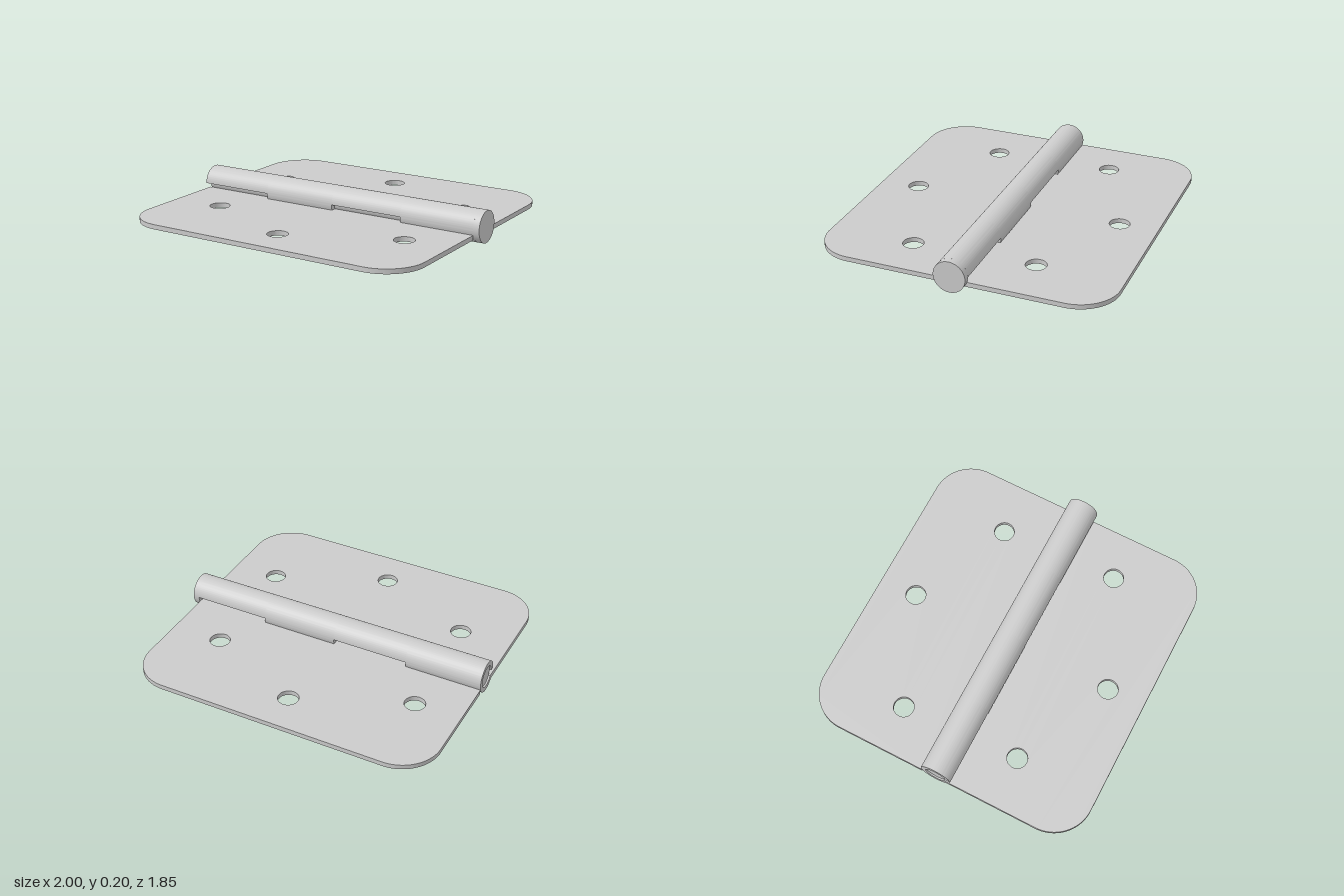
import * as THREE from 'three';
import { toCreasedNormals } from 'three/addons/utils/BufferGeometryUtils.js';

const CENTRE_X = -0.02;   // middle of the leaves; the pin head sticks out past +x
const HALF = 0.98;        // half the leaf length
const AXIS_Y = 0.1;       // height of the pin axis
const R_OUT = 0.1, R_IN = 0.068;
const PLATE_LOW = 0.035, PLATE_TOP = 0.065;
const INNER_Z = 0.095, OUTER_Z = 0.925;
const SEGMENT = HALF / 2; // length of one knuckle

const material = new THREE.MeshStandardMaterial({ color: 0xcccccc });

function addMesh(parent, name, geometry) {
  const mesh = new THREE.Mesh(geometry, material);
  mesh.name = name;
  parent.add(mesh);
  return mesh;
}

function extrude(shape, depth, curveSegments) {
  const geometry = new THREE.ExtrudeGeometry(shape, { depth, bevelEnabled: false, curveSegments });
  return toCreasedNormals(geometry, 0.6);
}

// Flat plate with two rounded outer corners and three screw holes
function plateGeometry() {
  const r = 0.25;
  const s = new THREE.Shape();
  s.moveTo(-HALF, INNER_Z);
  s.lineTo(HALF, INNER_Z);
  s.lineTo(HALF, OUTER_Z - r);
  s.absarc(HALF - r, OUTER_Z - r, r, 0, Math.PI / 2, false);
  s.lineTo(-HALF + r, OUTER_Z);
  s.absarc(-HALF + r, OUTER_Z - r, r, Math.PI / 2, Math.PI, false);
  s.closePath();
  for (const [x, z] of [[-0.65, 0.385], [0.685, 0.385], [0, 0.68]]) {
    s.holes.push(new THREE.Path().absarc(x, z, 0.064, 0, Math.PI * 2, true));
  }
  return extrude(s, PLATE_TOP - PLATE_LOW, 24).rotateX(Math.PI / 2).translate(0, PLATE_TOP, 0);
}

// Curl that runs from the plate under the pin, round it and back, leaving a slot above the plate
function knuckleGeometry() {
  const low = PLATE_LOW - AXIS_Y, top = PLATE_TOP - AXIS_Y;
  const s = new THREE.Shape();
  s.moveTo(R_OUT, 0);
  s.absarc(0, 0, R_OUT, 0, Math.PI * 2 + Math.asin(low / R_OUT), false);
  s.lineTo(INNER_Z, low);
  s.lineTo(INNER_Z, top);
  s.absarc(0, 0, R_IN, Math.PI * 2 + Math.asin(top / R_IN), 0, true);
  s.closePath();
  return extrude(s, SEGMENT, 48).rotateY(-Math.PI / 2).translate(0, AXIS_Y, 0);
}

function createLeaf(name) {
  const leaf = new THREE.Group();
  leaf.name = name;
  addMesh(leaf, 'plate', plateGeometry());
  // Every other knuckle belongs to this leaf
  for (const endX of [-SEGMENT, SEGMENT]) {
    addMesh(leaf, 'knuckle', knuckleGeometry()).position.x = endX;
  }
  leaf.position.x = CENTRE_X;
  return leaf;
}

function addRod(parent, name, radius, x0, x1) {
  const geometry = new THREE.CylinderGeometry(radius, radius, x1 - x0, 48).rotateZ(Math.PI / 2);
  addMesh(parent, name, geometry).position.set((x0 + x1) / 2, AXIS_Y, 0);
}

export function createModel() {
  const model = new THREE.Group();
  model.name = 'hinge';

  // The back leaf is the front leaf turned half round
  model.add(createLeaf('frontLeaf'));
  const backLeaf = createLeaf('backLeaf');
  backLeaf.rotation.y = Math.PI;
  model.add(backLeaf);

  // Pin with a flat head at +x
  const pin = new THREE.Group();
  pin.name = 'pin';
  addRod(pin, 'pinShaft', R_IN - 0.002, -0.99, 0.97);
  addRod(pin, 'pinHead', R_OUT, CENTRE_X + HALF, 1);
  model.add(pin);

  return model;
}
